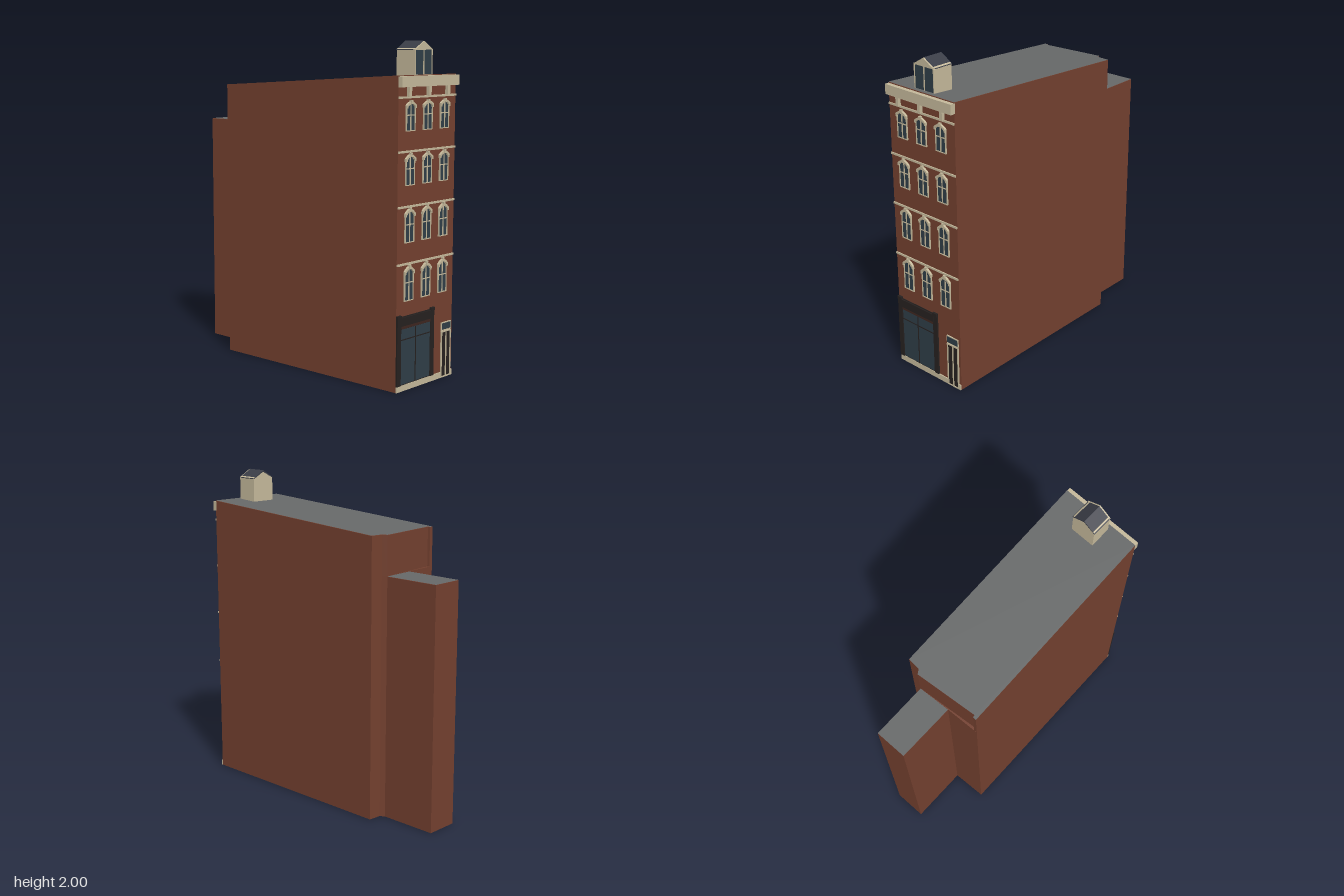
import * as THREE from 'three';

const mat = (color) => new THREE.MeshStandardMaterial({ color, flatShading: true });
const brick = mat(0x73402f), trim = mat(0xc4b89a), glass = mat(0x2f3d47);
const dark = mat(0x262120), slate = mat(0x3a3d47), roofGrey = mat(0x666868), brown = mat(0x3d2620);
const FRONT = 0.865;
const roofY = (z) => 1.757 + 0.061 * z;

function add(parent, name, geometry, material) {
  const mesh = new THREE.Mesh(geometry, material);
  mesh.name = name;
  parent.add(mesh);
  return mesh;
}

// Box given by its x, y and z ranges
function block(parent, name, material, x0, x1, y0, y1, z0, z1) {
  const g = new THREE.BoxGeometry(x1 - x0, y1 - y0, z1 - z0);
  g.translate((x0 + x1) / 2, (y0 + y1) / 2, (z0 + z1) / 2);
  return add(parent, name, g, material);
}

const shapeOf = (points) => new THREE.Shape(points.map(([x, y]) => new THREE.Vector2(x, y)));

// Upright outline in x/y, extruded along z
function slab(parent, name, material, shape, z0, z1) {
  const g = new THREE.ExtrudeGeometry(shape, { depth: z1 - z0, bevelEnabled: false, curveSegments: 6 });
  g.translate(0, 0, z0);
  return add(parent, name, g, material);
}

// Footprint in x/z raised into walls from y0 up to topY(z), with an optional roof sheet
function walls(parent, name, outline, y0, topY, withRoof = true) {
  const shape = shapeOf(outline.map(([x, z]) => [x, -z]));
  const g = new THREE.ExtrudeGeometry(shape, { depth: 1, bevelEnabled: false }).rotateX(-Math.PI / 2);
  const p = g.attributes.position;
  for (let i = 0; i < p.count; i++) p.setY(i, p.getY(i) > 0.5 ? topY(p.getZ(i)) : y0);
  g.computeVertexNormals();
  add(parent, name, g, brick);
  if (!withRoof) return;
  const r = new THREE.ShapeGeometry(shape).rotateX(-Math.PI / 2);
  const q = r.attributes.position;
  for (let i = 0; i < q.count; i++) q.setY(i, topY(q.getZ(i)) + 0.002);
  r.computeVertexNormals();
  add(parent, name + 'Roof', r, roofGrey);
}

// Arched outline: straight sides up to the spring line, then a shallow curve
function archPoints(w, y0, spring, top) {
  const pts = [[-w, y0], [w, y0]];
  for (let i = 0; i <= 8; i++) {
    const t = i / 8;
    pts.push([w * (1 - 2 * t), spring + (top - spring) * Math.sin(Math.PI * t)]);
  }
  return pts;
}

function archedWindow(parent, x, y, h) {
  const win = new THREE.Group();
  win.name = 'window';
  win.position.set(x, y, FRONT);
  parent.add(win);
  const spring = h * 0.78, top = h * 0.92;
  slab(win, 'windowGlass', glass, shapeOf(archPoints(0.037, 0.004, spring, top - 0.004)), 0, 0.004);
  const frame = shapeOf(archPoints(0.041, 0, spring, top));
  frame.holes.push(new THREE.Path(shapeOf(archPoints(0.035, 0.005, spring - 0.004, top - 0.006)).getPoints()));
  slab(win, 'windowFrame', trim, frame, 0, 0.008);
  block(win, 'windowMullion', trim, -0.004, 0.004, 0.003, top - 0.003, 0, 0.007);
  block(win, 'windowCrossbar', trim, -0.037, 0.037, h * 0.5, h * 0.5 + 0.006, 0, 0.007);
  // Arched hood with short dropped ends and a keystone
  const hood = [[-0.044, spring - 0.008]];
  for (let i = 0; i <= 8; i++) {
    const t = i / 8;
    hood.push([-0.044 + 0.088 * t, spring + 0.01 + (h * 0.96 - spring - 0.01) * Math.sin(Math.PI * t)]);
  }
  hood.push([0.044, spring - 0.008], [0.034, spring - 0.008]);
  for (let i = 0; i <= 6; i++) {
    const t = i / 6;
    hood.push([0.034 - 0.068 * t, spring + (top - spring - 0.005) * Math.sin(Math.PI * t)]);
  }
  hood.push([-0.034, spring - 0.008]);
  slab(win, 'windowHood', trim, shapeOf(hood), 0, 0.014);
  slab(win, 'keystone', trim, shapeOf([[-0.005, top - 0.008], [0.005, top - 0.008], [0.008, h], [-0.008, h]]), 0, 0.016);
}

function buildShopfront(parent) {
  const shop = new THREE.Group();
  shop.name = 'shopfront';
  parent.add(shop);
  block(shop, 'shopSurround', dark, -0.25, 0.09, 0.035, 0.44, FRONT, 0.869);
  block(shop, 'shopGlass', glass, -0.213, 0.056, 0.04, 0.365, FRONT, 0.871);
  for (const x of [-0.25, 0.056]) {
    block(shop, 'shopPilaster', dark, x, x + 0.035, 0.035, 0.43, FRONT, 0.875);
    block(shop, 'pilasterCap', dark, x, x + 0.035, 0.43, 0.45, FRONT, 0.88);
  }
  block(shop, 'signBoard', dark, -0.248, 0.065, 0.385, 0.435, FRONT, 0.877);
  block(shop, 'signLedge', brown, -0.215, 0.058, 0.368, 0.385, FRONT, 0.874);
  block(shop, 'shopMullion', dark, -0.083, -0.077, 0.037, 0.365, FRONT, 0.874);
  block(shop, 'shopTransom', dark, -0.213, 0.056, 0.301, 0.307, FRONT, 0.874);
}

function buildDoor(parent) {
  const door = new THREE.Group();
  door.name = 'entrance';
  parent.add(door);
  block(door, 'doorLeaves', dark, 0.17, 0.258, 0.006, 0.28, FRONT, 0.869);
  for (const x of [0.167, 0.21, 0.252])
    block(door, 'doorPost', trim, x, x + 0.008, 0.004, 0.285, FRONT, 0.873);
  block(door, 'doorHead', trim, 0.167, 0.26, 0.277, 0.285, FRONT, 0.873);
  block(door, 'doorSill', trim, 0.167, 0.26, 0, 0.008, FRONT, 0.873);
  block(door, 'transomFrame', trim, 0.166, 0.261, 0.288, 0.338, FRONT, 0.871);
  block(door, 'transomGlass', glass, 0.172, 0.255, 0.294, 0.332, FRONT, 0.873);
}

function buildDormer(parent) {
  const dormer = new THREE.Group();
  dormer.name = 'dormer';
  dormer.position.x = 0.012;
  parent.add(dormer);
  slab(dormer, 'dormerBody', trim,
    shapeOf([[-0.079, 1.79], [0.079, 1.79], [0.079, 1.953], [0, 1.996], [-0.079, 1.953]]), 0.7, 0.83);
  slab(dormer, 'dormerRoof', slate,
    shapeOf([[-0.083, 1.95], [-0.079, 1.947], [0, 1.99], [0.079, 1.947], [0.083, 1.95], [0, 2]]), 0.698, 0.828);
  block(dormer, 'dormerGlass', glass, -0.074, 0.074, 1.81, 1.95, 0.82, 0.832);
  for (const x of [-0.079, -0.003, 0.073])
    block(dormer, 'dormerPost', trim, x, x + 0.006, 1.795, 1.953, 0.82, 0.836);
  slab(dormer, 'dormerGable', trim, shapeOf([[-0.083, 1.948], [0.083, 1.948], [0, 1.998]]), 0.82, 0.837);
}

export function createModel() {
  const model = new THREE.Group();
  model.name = 'townhouse';

  // Main body: lower walls, then upper walls with a slightly recessed back panel
  const LEDGE = 1.487;
  const shared = [[-0.25, FRONT], [0.275, FRONT], [0.24, -0.5], [0.16, -0.505], [0.142, -0.532]];
  walls(model, 'lowerWalls', [...shared, [-0.065, -0.517], [-0.28, -0.505]], 0, () => LEDGE, false);
  walls(model, 'upperWalls', [...shared, [-0.255, -0.49], [-0.258, -0.505], [-0.28, -0.505]], LEDGE, roofY);
  // Narrow rear wing
  walls(model, 'rearWing',
    [[0.142, -0.525], [0.132, -0.892], [-0.07, -0.888], [-0.064, -0.51]], 0, () => 1.483);

  // Cornice, brackets, storey bands and plinth
  block(model, 'cornice', trim, -0.25, 0.275, 1.745, 1.805, 0.86, 0.892);
  for (const x of [-0.165, 0.012, 0.187])
    block(model, 'corniceBracket', trim, x - 0.011, x + 0.011, 1.69, 1.75, FRONT, 0.885);
  for (const y of [0.742, 1.07, 1.383, 1.687])
    block(model, 'storeyBand', trim, -0.25, 0.275, y - 0.006, y + 0.006, FRONT, 0.872);
  block(model, 'plinth', trim, -0.25, 0.167, 0, 0.035, FRONT, 0.872);
  block(model, 'plinthEnd', trim, 0.26, 0.275, 0, 0.035, FRONT, 0.872);

  // Four storeys of three windows: sill height and window height
  for (const [y, h] of [[0.525, 0.21], [0.863, 0.203], [1.19, 0.185], [1.497, 0.174]])
    for (const x of [-0.145, 0.011, 0.167]) archedWindow(model, x, y, h);

  buildShopfront(model);
  buildDoor(model);
  buildDormer(model);
  return model;
}
